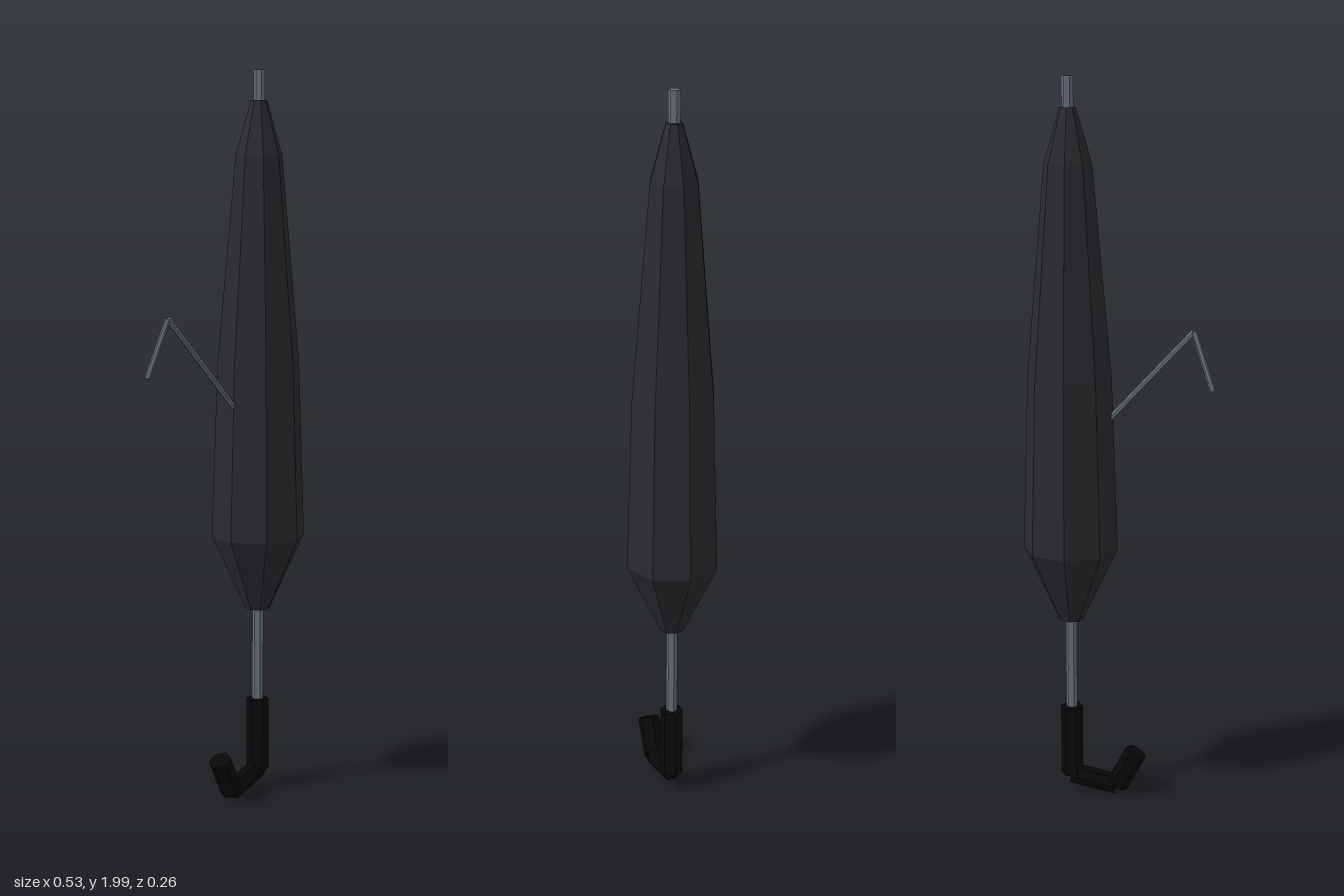
import * as THREE from 'three';

const AXIS = 0.134; // x of the umbrella's centre line

function mat(name, color) {
  const m = new THREE.MeshStandardMaterial({ color, flatShading: true });
  m.name = name;
  return m;
}

// Six-sided rod between two points; turn spins it about its own length
function rod(name, a, b, radius, material, turn = Math.PI / 6) {
  const from = new THREE.Vector3(...a), to = new THREE.Vector3(...b);
  const dir = to.clone().sub(from);
  const geo = new THREE.CylinderGeometry(radius, radius, dir.length(), 6);
  geo.rotateY(turn);
  const mesh = new THREE.Mesh(geo, material);
  mesh.name = name;
  mesh.position.copy(from).add(to).multiplyScalar(0.5);
  mesh.quaternion.setFromUnitVectors(new THREE.Vector3(0, 1, 0), dir.normalize());
  return mesh;
}

export function createModel() {
  const fabric = mat('dark fabric', 0x2b2b30);
  const metal = mat('grey metal', 0x68737a);
  const grip = mat('black grip', 0x080808);

  const umbrella = new THREE.Group();
  umbrella.name = 'closedUmbrella';

  // Folded canopy: eight-sided, closed at both ends
  const profile = [
    [0, 0.526], [0.034, 0.526], [0.13, 0.733], [0.114, 1.21],
    [0.064, 1.775], [0.022, 1.92], [0, 1.92],
  ].map(([r, y]) => new THREE.Vector2(r, y));
  const canopy = new THREE.Mesh(new THREE.LatheGeometry(profile, 8), fabric);
  canopy.name = 'canopy';
  canopy.position.x = AXIS;
  umbrella.add(canopy);

  // Shaft with the tip showing above the canopy
  umbrella.add(rod('shaft', [AXIS, 0.2, 0], [AXIS, 2, 0], 0.0155, metal));

  // Hooked handle in three straight pieces
  const handle = new THREE.Group();
  handle.name = 'handle';
  handle.add(
    rod('handleGrip', [AXIS, 0.06, 0], [AXIS, 0.265, 0], 0.031, grip),
    rod('handleBend', [0.008, 0.031, 0], [AXIS, 0.059, 0], 0.028, grip, 0),
    rod('handleEnd', [0.005, 0.031, 0], [-0.048, 0.133, 0], 0.031, grip),
  );
  umbrella.add(handle);

  // Broken rib poking out of the canopy
  const elbow = [-0.202, 1.352, -0.053];
  const rib = new THREE.Group();
  rib.name = 'brokenRib';
  rib.add(
    rod('ribInner', [0.07, 1.05, 0.007], elbow, 0.008, metal),
    rod('ribOuter', elbow, [-0.255, 1.2, -0.081], 0.008, metal),
  );
  umbrella.add(rib);

  return umbrella;
}
